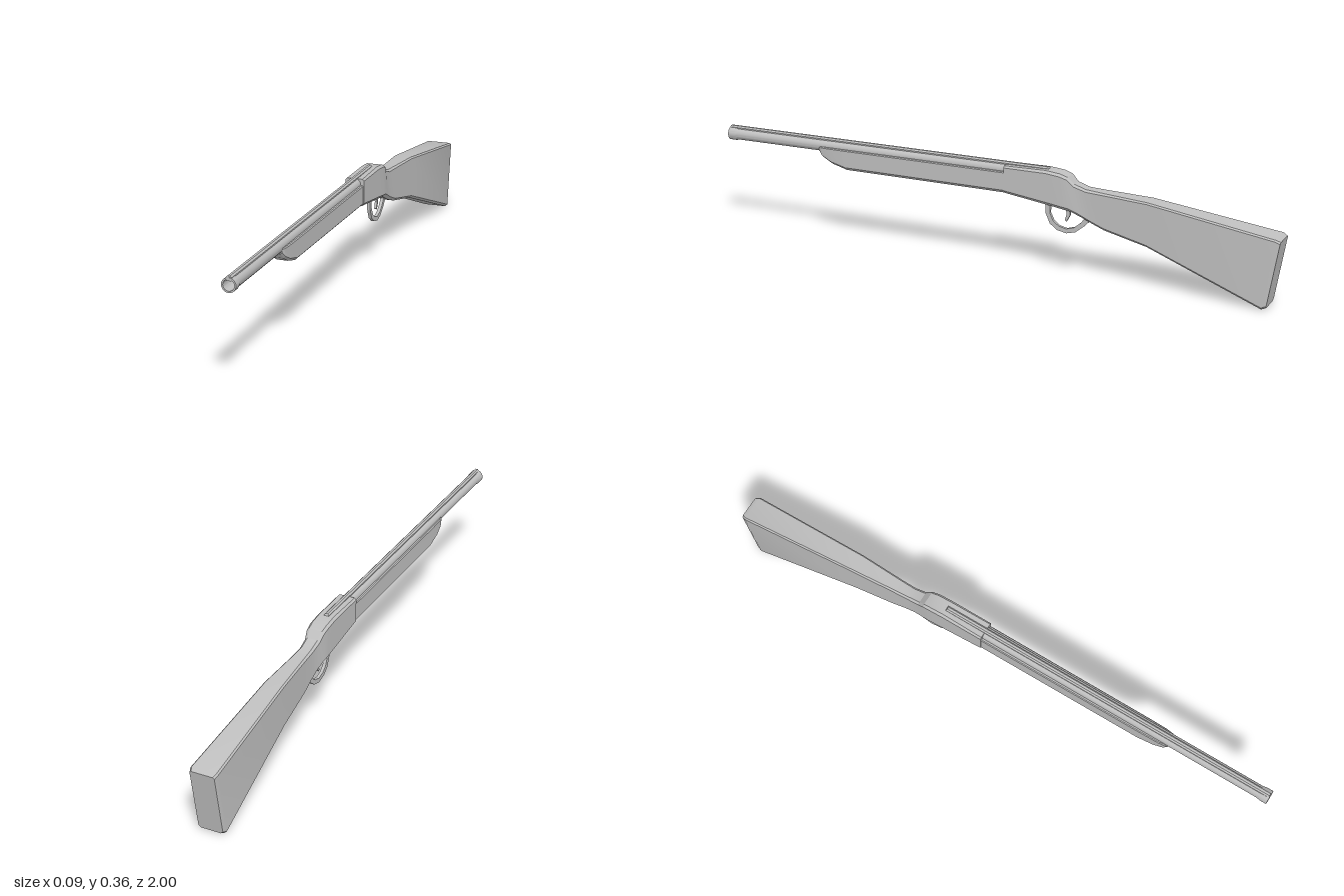
import * as THREE from 'three';
import { toCreasedNormals } from 'three/addons/utils/BufferGeometryUtils.js';

// Lofts chamfered rectangles, listed from front to back:
// [topZ, topY, bottomZ, bottomY, halfWidth, topChamfer, bottomChamfer]
function loft(sections) {
  const pos = [], idx = [], n = 8;
  for (const [zt, yt, zb, yb, w, ct, cb] of sections) {
    const ring = [
      [w, yb + cb], [w, yt - ct], [w - ct, yt], [-w + ct, yt],
      [-w, yt - ct], [-w, yb + cb], [-w + cb, yb], [w - cb, yb],
    ];
    for (const [x, y] of ring) pos.push(x, y, zb + (zt - zb) * (y - yb) / (yt - yb));
  }
  for (let s = 0; s < sections.length - 1; s++) {
    for (let i = 0; i < n; i++) {
      const a = s * n + i, b = s * n + (i + 1) % n;
      idx.push(a, a + n, b, b, a + n, b + n);
    }
  }
  const last = (sections.length - 1) * n;
  for (let i = 1; i < n - 1; i++) {
    idx.push(0, i, i + 1, last, last + i + 1, last + i);
  }
  const g = new THREE.BufferGeometry();
  g.setAttribute('position', new THREE.Float32BufferAttribute(pos, 3));
  g.setIndex(idx);
  return toCreasedNormals(g, 0.4);
}

// Flat plate cut from a side outline of [z, y] points, centred on x = 0
function plate(points, width) {
  const shape = new THREE.Shape(points.map(([z, y]) => new THREE.Vector2(z, y)));
  const g = new THREE.ExtrudeGeometry(shape, { depth: width, bevelEnabled: false });
  g.translate(0, 0, -width / 2);
  return g.rotateY(-Math.PI / 2);
}

export function createModel() {
  const group = new THREE.Group();
  const grey = new THREE.MeshStandardMaterial({ color: 0xbfbfbf });
  grey.name = 'grey';
  const add = (name, geometry) => {
    const mesh = new THREE.Mesh(geometry, grey);
    mesh.name = name;
    group.add(mesh);
  };

  // Fore-end, receiver, wrist and butt in one continuous body
  add('stock', loft([
    [0.64, 0.335, 0.64, 0.316, 0.02, 0.003, 0.005],
    [0.635, 0.335, 0.625, 0.298, 0.025, 0.003, 0.008],
    [0.61, 0.335, 0.59, 0.279, 0.028, 0.003, 0.01],
    [0.54, 0.335, 0.535, 0.264, 0.029, 0.003, 0.01],
    [-0.055, 0.335, -0.055, 0.262, 0.03, 0.003, 0.01],
    [-0.055, 0.356, -0.056, 0.262, 0.033, 0.006, 0.01],
    [-0.2, 0.358, -0.23, 0.237, 0.033, 0.008, 0.012],
    [-0.25, 0.353, -0.26, 0.232, 0.033, 0.008, 0.012],
    [-0.278, 0.344, -0.285, 0.228, 0.031, 0.008, 0.012],
    [-0.3, 0.322, -0.32, 0.213, 0.026, 0.008, 0.012],
    [-0.34, 0.309, -0.36, 0.195, 0.024, 0.007, 0.011],
    [-0.4, 0.305, -0.405, 0.179, 0.026, 0.006, 0.009],
    [-0.555, 0.297, -0.555, 0.147, 0.034, 0.005, 0.008],
    [-0.985, 0.237, -0.947, 0, 0.047, 0.005, 0.008],
    [-1, 0.23, -0.962, 0.006, 0.042, 0.006, 0.008],
  ]));

  // Barrel with a muzzle ring and open bore
  const profile = [
    [0, -0.1], [0.021, -0.1], [0.021, 0.965], [0.0235, 0.975],
    [0.0235, 1], [0.018, 1], [0.018, 0.93], [0, 0.93],
  ].map(([r, y]) => new THREE.Vector2(r, y));
  const barrel = new THREE.LatheGeometry(profile, 24).rotateX(Math.PI / 2);
  barrel.translate(0, 0.336, 0);
  add('barrel', toCreasedNormals(barrel, 0.4));

  // Sighting rib along the barrel and over the receiver
  add('sightingRib', loft([
    [0.998, 0.364, 0.998, 0.348, 0.009, 0.005, 0.001],
    [-0.2, 0.364, -0.21, 0.348, 0.009, 0.005, 0.001],
  ]));

  // Trigger guard loop: outer edge, then back along the inner edge
  add('triggerGuard', plate([
    [-0.194, 0.245], [-0.195, 0.205], [-0.21, 0.172], [-0.235, 0.153],
    [-0.268, 0.146], [-0.3, 0.154], [-0.33, 0.178], [-0.356, 0.205],
    [-0.338, 0.212], [-0.318, 0.188], [-0.295, 0.169], [-0.268, 0.161],
    [-0.242, 0.167], [-0.222, 0.182], [-0.21, 0.207], [-0.21, 0.245],
  ], 0.011));

  // Curved trigger
  add('trigger', plate([
    [-0.262, 0.24], [-0.269, 0.212], [-0.262, 0.19], [-0.268, 0.186],
    [-0.28, 0.208], [-0.282, 0.24],
  ], 0.008));

  return group;
}
